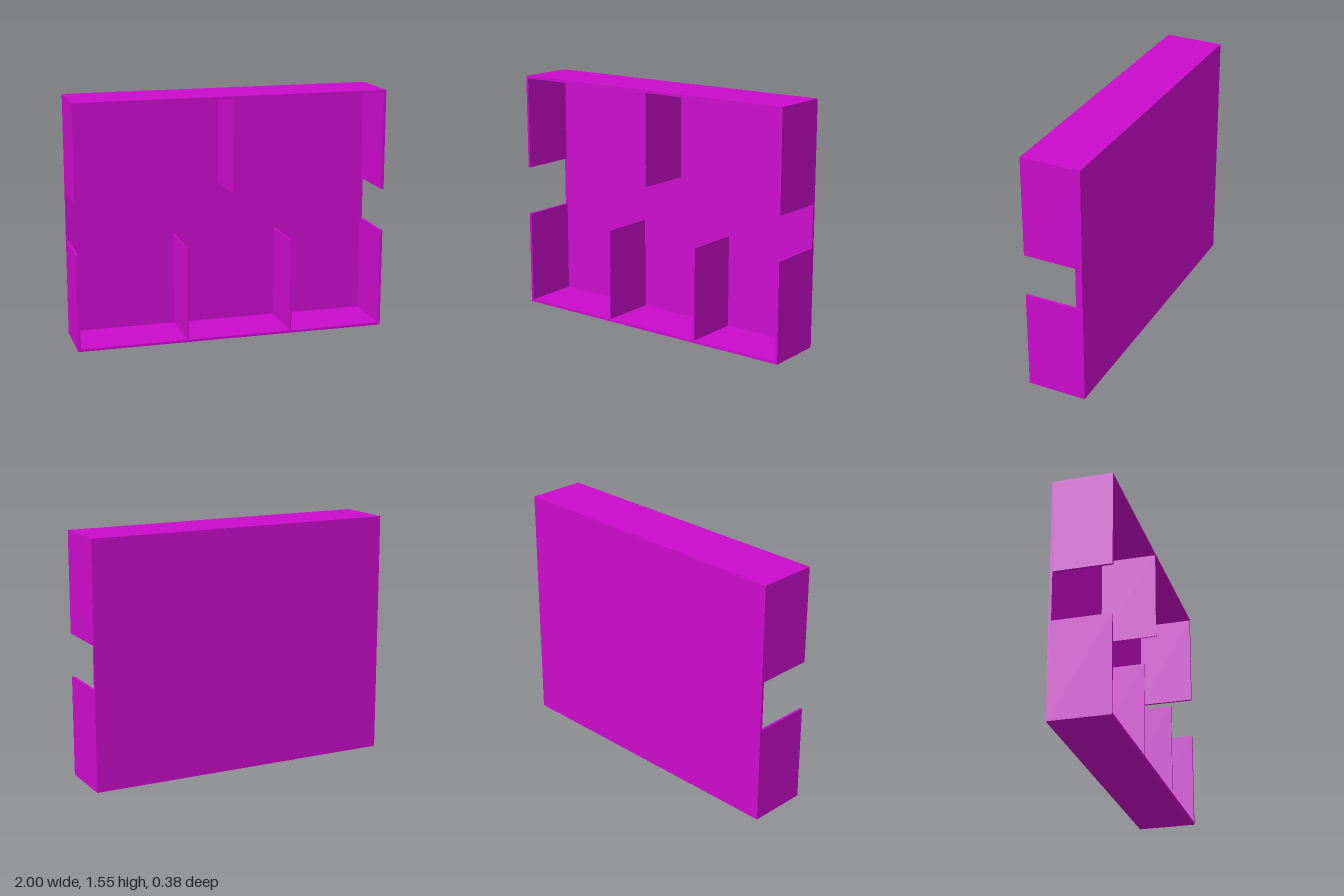
import * as THREE from 'three';

const HEIGHT = 1.555, DEPTH = 0.38, WALL = 0.016;

export function createModel() {
  const model = new THREE.Group();
  model.name = 'floorPlanShell';
  const magenta = new THREE.MeshStandardMaterial({ color: 0xcc0ccc });
  magenta.name = 'magenta';

  // Box given by its limits along each axis
  const slab = (name, [x0, x1], [y0, y1], [z0, z1]) => {
    const mesh = new THREE.Mesh(new THREE.BoxGeometry(x1 - x0, y1 - y0, z1 - z0), magenta);
    mesh.name = name;
    mesh.position.set((x0 + x1) / 2, (y0 + y1) / 2, (z0 + z1) / 2);
    model.add(mesh);
  };

  const back = -DEPTH / 2, front = DEPTH / 2;
  const inner = [back + WALL, front];
  const top = HEIGHT - WALL;

  // Back panel with full-width top and bottom walls
  slab('backPanel', [-1, 1], [0, HEIGHT], [back, back + WALL]);
  slab('bottomWall', [-1, 1], [0, WALL], inner);
  slab('topWall', [-1, 1], [top, HEIGHT], inner);

  // Side walls, each broken by a doorway
  const sides = [
    { name: 'right', x: [-1, -1 + WALL], gap: [0.62, 0.94] },
    { name: 'left', x: [1 - WALL, 1], gap: [0.64, 0.915] },
  ];
  for (const { name, x, gap } of sides) {
    slab(name + 'LowerWall', x, [WALL, gap[0]], inner);
    slab(name + 'UpperWall', x, [gap[1], top], inner);
  }

  // Inner dividers: two rising from the bottom, one hanging from the top
  slab('lowerDividerRight', [-0.304, -0.294], [WALL, 0.615], inner);
  slab('lowerDividerLeft', [0.376, 0.386], [WALL, 0.615], inner);
  slab('upperDivider', [-0.005, 0.003], [0.945, top], inner);

  return model;
}
